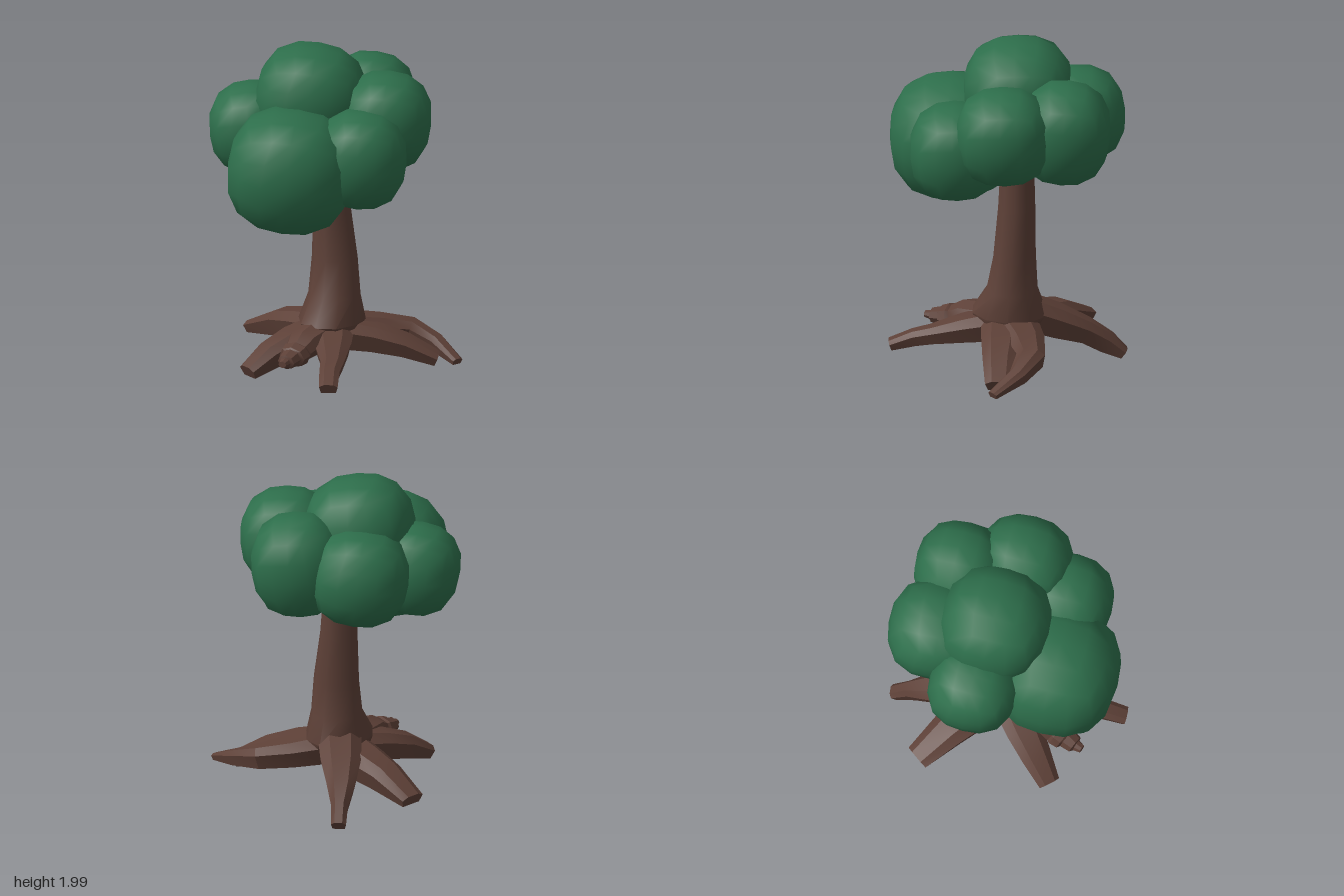
import * as THREE from 'three';
import { mergeVertices, toCreasedNormals } from 'three/addons/utils/BufferGeometryUtils.js';

// Soft rounded cube: a gridded box pushed onto a superellipsoid
function puffGeometry() {
  const geo = new THREE.BoxGeometry(2, 2, 2, 4, 4, 4);
  geo.deleteAttribute('uv');
  geo.deleteAttribute('normal');
  const g = mergeVertices(geo);
  const p = g.attributes.position;
  const v = new THREE.Vector3();
  const e = 2.5;
  for (let i = 0; i < p.count; i++) {
    v.fromBufferAttribute(p, i);
    v.set(...v.toArray().map((c) => Math.tan(c * Math.PI / 4)));
    const n = Math.pow(Math.abs(v.x) ** e + Math.abs(v.y) ** e + Math.abs(v.z) ** e, 1 / e);
    p.setXYZ(i, v.x / n, v.y / n, v.z / n);
  }
  g.computeVertexNormals();
  return g;
}

// Skin over rings of { c, side, up, w, h }, with both ends closed
function loft(rings, outline, crease) {
  const n = outline.length;
  const pos = [], idx = [];
  for (const { c, side, up, w, h } of rings) {
    for (const [a, b] of outline) {
      pos.push(...c.clone().addScaledVector(side, a * w).addScaledVector(up, b * h).toArray());
    }
  }
  const last = (rings.length - 1) * n;
  for (let i = 0; i < n; i++) {
    const j = (i + 1) % n;
    for (let k = 0; k < last; k += n) {
      idx.push(k + i, k + j, k + n + j, k + i, k + n + j, k + n + i);
    }
    if (i > 0 && i < n - 1) idx.push(0, i + 1, i, last, last + i, last + i + 1);
  }
  const g = new THREE.BufferGeometry();
  g.setAttribute('position', new THREE.Float32BufferAttribute(pos, 3));
  g.setIndex(idx);
  return toCreasedNormals(g, crease);
}

const polygon = (n) => Array.from({ length: n }, (_, i) => {
  const a = (i / n) * Math.PI * 2;
  return [Math.cos(a), Math.sin(a)];
});

// Root along points [x, y, z, half width, half height]
function rootGeometry(points, outline, crease) {
  const centres = points.map(([x, y, z]) => new THREE.Vector3(x, y, z));
  const Y = new THREE.Vector3(0, 1, 0);
  const rings = points.map(([, , , w, h], i) => {
    const a = centres[Math.max(i - 1, 0)];
    const b = centres[Math.min(i + 1, centres.length - 1)];
    const t = b.clone().sub(a).normalize();
    const side = Y.clone().cross(t).normalize();
    return { c: centres[i], side, up: t.cross(side), w, h };
  });
  return loft(rings, outline, crease);
}

export function createModel() {
  const tree = new THREE.Group();
  tree.name = 'tree';
  const leaf = new THREE.MeshStandardMaterial({ color: 0x2d6e4b });
  leaf.name = 'leaf green';
  const bark = new THREE.MeshStandardMaterial({ color: 0x5d4037 });
  bark.name = 'bark brown';

  const add = (name, geo, mat, parent) => {
    const m = new THREE.Mesh(geo, mat);
    m.name = name;
    parent.add(m);
    return m;
  };

  // Foliage: centre, radii, tilt
  const crown = new THREE.Group();
  crown.name = 'crown';
  tree.add(crown);
  const puff = puffGeometry();
  const puffs = [
    ['topPuff', [-0.14, 1.675, -0.06], [0.325, 0.318, 0.325], [0.05, 0.35, -0.16]],
    ['frontPuff', [-0.08, 1.355, 0.335], [0.372, 0.362, 0.372], [0.05, 0.35, -0.14]],
    ['rightPuff', [-0.475, 1.47, 0.015], [0.262, 0.268, 0.265], [0.05, 0.35, 0.1]],
    ['backRightPuff', [-0.31, 1.515, -0.35], [0.29, 0.282, 0.295], [0.08, 0.45, 0.08]],
    ['backPuff', [0.06, 1.55, -0.44], [0.27, 0.308, 0.272], [-0.08, 0.35, -0.08]],
    ['leftPuff', [0.3, 1.57, -0.155], [0.272, 0.286, 0.282], [0.05, 0.35, -0.1]],
    ['frontLeftPuff', [0.29, 1.425, 0.155], [0.272, 0.288, 0.272], [0.06, 0.35, -0.08]],
  ];
  for (const [name, c, r, tilt] of puffs) {
    const m = add(name, puff, leaf, crown);
    m.position.set(...c);
    m.scale.set(...r);
    m.rotation.set(...tilt);
  }

  // Trunk: y, centre x, centre z, radius x, radius z
  const trunkRings = [
    [0.18, 0, -0.06, 0.12, 0.14], [0.25, 0, -0.06, 0.17, 0.19],
    [0.33, 0, -0.06, 0.195, 0.23], [0.48, 0.005, -0.08, 0.155, 0.155],
    [0.7, 0, -0.095, 0.138, 0.125], [1.0, -0.02, -0.1, 0.112, 0.112],
    [1.3, -0.03, -0.1, 0.1, 0.1], [1.5, -0.04, -0.1, 0.09, 0.09],
  ].map(([y, x, z, rx, rz]) => ({
    c: new THREE.Vector3(x, y, z),
    side: new THREE.Vector3(0, 0, 1), up: new THREE.Vector3(1, 0, 0), w: rz, h: rx,
  }));
  add('trunk', loft(trunkRings, polygon(10), 0.75), bark, tree);

  // Roots: blocky, narrower underneath, tapering outwards
  const roots = new THREE.Group();
  roots.name = 'roots';
  tree.add(roots);
  const block = [[0.8, -0.95], [1, 0.4], [0.5, 0.95], [-0.5, 0.95], [-1, 0.4], [-0.8, -0.95]];
  const paths = {
    backRightRoot: [[-0.04, 0.34, -0.13, 0.13, 0.1], [-0.15, 0.26, -0.3, 0.12, 0.09],
      [-0.24, 0.185, -0.45, 0.085, 0.07], [-0.295, 0.105, -0.56, 0.05, 0.065], [-0.34, 0.035, -0.65, 0.045, 0.035]],
    rightRoot: [[-0.06, 0.26, -0.1, 0.15, 0.09], [-0.24, 0.235, -0.16, 0.13, 0.085],
      [-0.4, 0.205, -0.21, 0.11, 0.075], [-0.625, 0.125, -0.28, 0.08, 0.035]],
    frontRightRoot: [[-0.05, 0.26, 0, 0.13, 0.085], [-0.16, 0.225, 0.16, 0.11, 0.08],
      [-0.24, 0.175, 0.3, 0.09, 0.07], [-0.31, 0.1, 0.44, 0.065, 0.04]],
    frontLeftRoot: [[0.04, 0.26, 0.02, 0.13, 0.085], [0.12, 0.235, 0.18, 0.11, 0.07],
      [0.2, 0.195, 0.35, 0.07, 0.05], [0.23, 0.17, 0.45, 0.06, 0.045], [0.285, 0.125, 0.58, 0.055, 0.03]],
    backLeftRoot: [[0.06, 0.27, -0.12, 0.14, 0.085], [0.22, 0.245, -0.26, 0.115, 0.075],
      [0.37, 0.22, -0.36, 0.085, 0.065], [0.54, 0.17, -0.35, 0.055, 0.045], [0.72, 0.1, -0.265, 0.035, 0.02]],
    leftRoot: [[0.07, 0.26, -0.06, 0.14, 0.085], [0.25, 0.235, -0.12, 0.12, 0.075],
      [0.42, 0.19, -0.18, 0.1, 0.06], [0.595, 0.11, -0.25, 0.08, 0.035]],
  };
  for (const [name, path] of Object.entries(paths)) {
    add(name, rootGeometry(path, block, 0.4), bark, roots);
  }

  // Ringed, curled stub at the front
  const stub = [
    [-0.03, 0.26, 0.08, 0.13, 0.09], [-0.04, 0.25, 0.24, 0.11, 0.085],
    [-0.045, 0.225, 0.31, 0.085, 0.065], [-0.045, 0.22, 0.33, 0.095, 0.075],
    [-0.05, 0.21, 0.38, 0.085, 0.065], [-0.05, 0.21, 0.39, 0.065, 0.055],
    [-0.055, 0.2, 0.45, 0.055, 0.045], [-0.055, 0.2, 0.46, 0.035, 0.03],
    [-0.055, 0.2, 0.5, 0.025, 0.02],
  ];
  add('stubRoot', rootGeometry(stub, polygon(8), 0.5), bark, roots);

  return tree;
}
